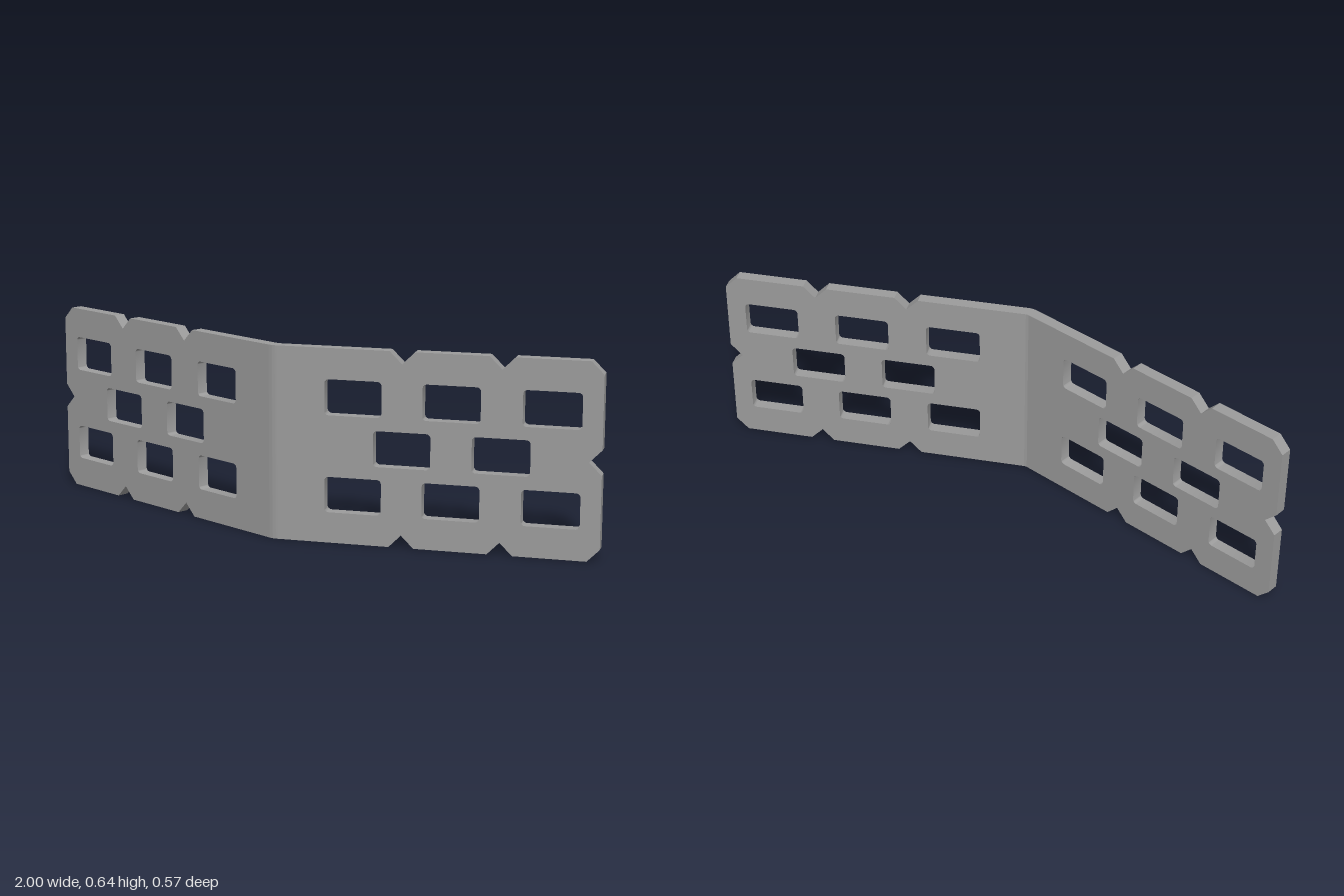
import * as THREE from 'three';
import { toCreasedNormals } from 'three/addons/utils/BufferGeometryUtils.js';

const H = 0.643, T = 0.04, L = 1.061;   // height, thickness, length of each wing
const PITCH = 0.161, CUT = 0.041;       // hole grid and notch size
const ANGLE = Math.PI / 6, R = 0.02;    // bend angle and inner radius
const START = R * Math.tan(ANGLE / 2);  // wings begin where the bend ends

// rectangular hole with rounded corners
function slot(cx, cy, w = 0.188, h = 0.118, r = 0.014) {
  const p = new THREE.Path(), x = w / 2, y = h / 2;
  p.absarc(cx + x - r, cy + y - r, r, 0, Math.PI / 2);
  p.absarc(cx - x + r, cy + y - r, r, Math.PI / 2, Math.PI);
  p.absarc(cx - x + r, cy - y + r, r, Math.PI, Math.PI * 1.5);
  p.absarc(cx + x - r, cy - y + r, r, Math.PI * 1.5, Math.PI * 2);
  p.closePath();
  return p;
}

// flat wing with V notches, cut corners and staggered holes; x runs away from the bend
function wingGeometry() {
  const n1 = L - 4 * PITCH + 0.002, n2 = L - 2 * PITCH + 0.002;
  const pts = [[START, 0]];
  for (const n of [n1, n2]) pts.push([n - CUT, 0], [n, CUT], [n + CUT, 0]);
  pts.push([L - CUT, 0], [L, CUT], [L, H / 2 - CUT], [L - CUT, H / 2],
    [L, H / 2 + CUT], [L, H - CUT], [L - CUT, H]);
  for (const n of [n2, n1]) pts.push([n + CUT, H], [n, H - CUT], [n - CUT, H]);
  pts.push([START, H]);
  const shape = new THREE.Shape(pts.map(([x, y]) => new THREE.Vector2(x, y)));

  for (let i = 1; i <= 5; i++) {
    const x = L - i * PITCH + 0.002;
    const rows = i % 2 ? [H / 4, H * 3 / 4] : [H / 2];
    for (const y of rows) shape.holes.push(slot(x, y));
  }
  const geo = new THREE.ExtrudeGeometry(shape, { depth: T, bevelEnabled: false, curveSegments: 4 });
  return toCreasedNormals(geo, 0.5);
}

// curved strip joining the two wings
function bendGeometry() {
  const N = 8, outer = [], inner = [];
  for (let i = 0; i <= N; i++) {
    const a = ANGLE * i / N;
    const at = (r) => new THREE.Vector2(-START + r * Math.sin(a), R - r * Math.cos(a));
    outer.push(at(R + T));
    inner.unshift(at(R));
  }
  const geo = new THREE.ExtrudeGeometry(new THREE.Shape([...outer, ...inner]),
    { depth: H, bevelEnabled: false });
  geo.rotateX(-Math.PI / 2);
  return toCreasedNormals(geo, 0.5);
}

export function createModel() {
  const metal = new THREE.MeshStandardMaterial({ color: 0x9b9b9b });
  metal.name = 'grey metal';
  const group = new THREE.Group();
  group.name = 'bentPerforatedPlate';
  const add = (name, geo) => {
    const mesh = new THREE.Mesh(geo, metal);
    mesh.name = name;
    group.add(mesh);
    return mesh;
  };

  const wing = wingGeometry();
  add('angledWing', wing).rotation.y = ANGLE;
  const straight = add('straightWing', wing);
  straight.rotation.y = Math.PI;
  straight.position.z = T;
  add('bend', bendGeometry());

  // centre the plate
  group.children.forEach((m) => { m.position.x += L - 1; m.position.z += 0.245; });
  return group;
}
